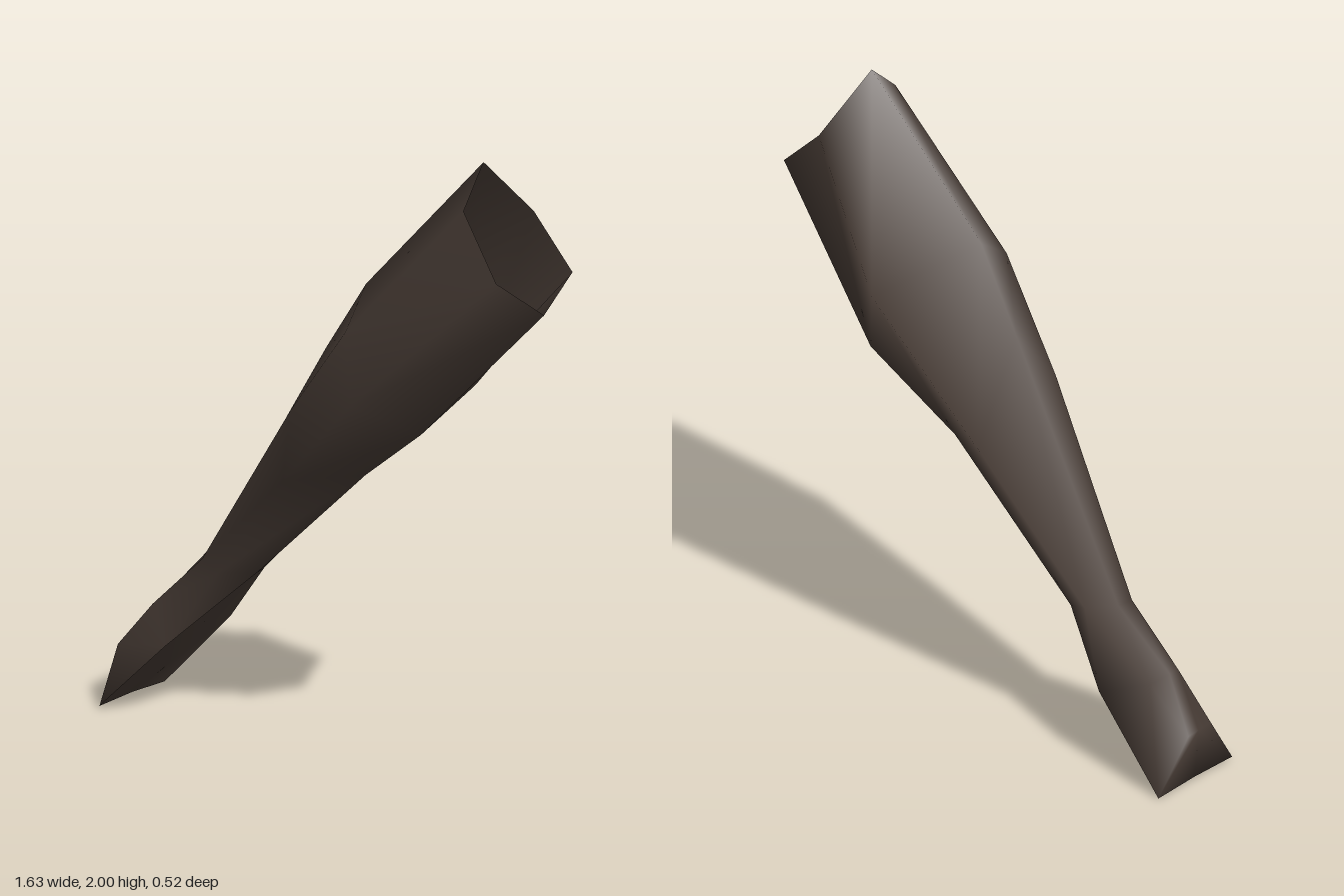
import * as THREE from 'three';

// Six-sided cross-sections from the open upper end down to the flared tip.
// Each runs: ridge, upper back, lower back, underside, lower front, upper front.
const SECTIONS = [
  // open rim
  [[0.52, 2.0, 0.03], [0.6, 1.81, -0.13], [0.76, 1.65, -0.1], [0.81, 1.59, 0.14], [0.7, 1.7, 0.24], [0.53, 1.88, 0.16]],
  // widest part
  [[0.1, 1.53, 0.04], [0.29, 1.41, -0.26], [0.35, 1.18, -0.19], [0.35, 1.11, 0.12], [0.18, 1.21, 0.26], [0.12, 1.42, 0.19]],
  // taper
  [[-0.07, 1.28, 0.0], [-0.08, 0.98, -0.205], [0.06, 0.95, -0.14], [0.1, 0.91, 0.045], [-0.13, 0.88, 0.155], [-0.12, 1.1, 0.13]],
  // narrow neck
  [[-0.53, 0.53, -0.08], [-0.44, 0.51, -0.13], [-0.36, 0.48, -0.1], [-0.34, 0.49, -0.03], [-0.44, 0.49, 0.035], [-0.52, 0.51, 0.0]],
  // flare, hollow underneath
  [[-0.7, 0.33, -0.04], [-0.67, 0.31, -0.1], [-0.53, 0.27, -0.175], [-0.6, 0.27, -0.03], [-0.58, 0.25, 0.115], [-0.7, 0.33, 0.0]],
  // tip
  [[-0.82, 0.18, -0.05], [-0.82, 0.18, -0.1], [-0.79, 0.0, -0.21], [-0.805, 0.01, -0.05], [-0.82, 0.01, 0.115], [-0.82, 0.18, 0.01]],
];

// Joins the sections into one smooth skin and closes the last one.
function loft(sections) {
  const sides = sections[0].length;
  const index = [];
  for (let r = 0; r < sections.length - 1; r++) {
    for (let i = 0; i < sides; i++) {
      const j = (i + 1) % sides;
      const a = r * sides + i, b = r * sides + j;
      const c = a + sides, d = b + sides;
      index.push(a, b, d, a, d, c);
    }
  }
  const last = (sections.length - 1) * sides;
  for (let i = 1; i < sides - 1; i++) index.push(last, last + i, last + i + 1);

  const geometry = new THREE.BufferGeometry();
  geometry.setAttribute('position', new THREE.Float32BufferAttribute(sections.flat(2), 3));
  geometry.setIndex(index);
  geometry.computeVertexNormals();
  return geometry;
}

export function createModel() {
  const darkBrown = new THREE.MeshStandardMaterial({ color: 0x4b3f38, side: THREE.DoubleSide });
  darkBrown.name = 'darkBrown';

  const group = new THREE.Group();
  group.name = 'taperedLimb';

  // hollow limb with a flared tip
  const limb = new THREE.Mesh(loft(SECTIONS), darkBrown);
  limb.name = 'limbSleeve';
  group.add(limb);
  return group;
}
